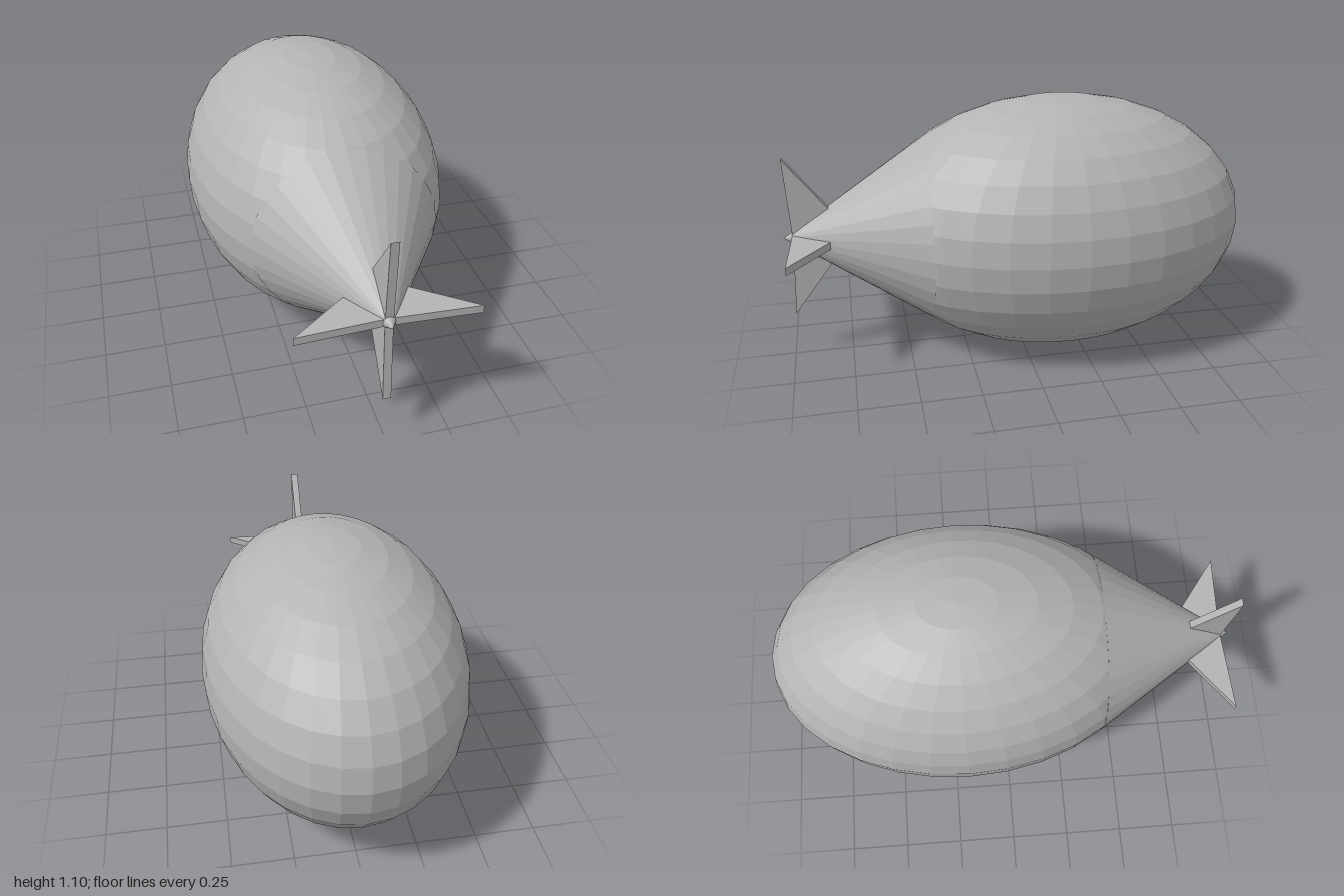
import * as THREE from 'three';

const AXIS_Y = 0.551; // height of the long axis

export function createModel() {
  const airship = new THREE.Group();
  airship.name = 'airship';

  const grey = new THREE.MeshStandardMaterial({ color: 0xb4b4b4, flatShading: true });
  grey.name = 'grey';

  const add = (name, geometry, parent = airship) => {
    const mesh = new THREE.Mesh(geometry, grey);
    mesh.name = name;
    parent.add(mesh);
    return mesh;
  };

  // Egg-shaped envelope, poles at top and bottom
  const envelope = add('envelope', new THREE.SphereGeometry(1, 32, 16));
  envelope.scale.set(0.549, 0.549, 0.822);
  envelope.position.set(0, AXIS_Y, -0.176);

  // Tail cone, tangent to the envelope, with its tip at z = 1
  const coneLength = 0.59;
  const cone = new THREE.ConeGeometry(coneLength * 0.651, coneLength, 32);
  cone.rotateX(Math.PI / 2);
  add('tailCone', cone).position.set(0, AXIS_Y, 1 - coneLength / 2);

  // Four swept fins: outline in (z, distance from axis)
  const outline = new THREE.Shape([
    new THREE.Vector2(0.715, 0),
    new THREE.Vector2(0.962, 0),
    new THREE.Vector2(0.979, 0.347),
  ]);
  const thickness = 0.032;
  const fin = new THREE.ExtrudeGeometry(outline, { depth: thickness, bevelEnabled: false });
  fin.translate(0, 0, -thickness / 2);
  fin.rotateY(-Math.PI / 2);

  const fins = new THREE.Group();
  fins.name = 'tailFins';
  fins.position.y = AXIS_Y;
  airship.add(fins);
  ['topFin', 'leftFin', 'bottomFin', 'rightFin'].forEach((name, i) => {
    add(name, fin, fins).rotation.z = -i * Math.PI / 2;
  });

  return airship;
}
